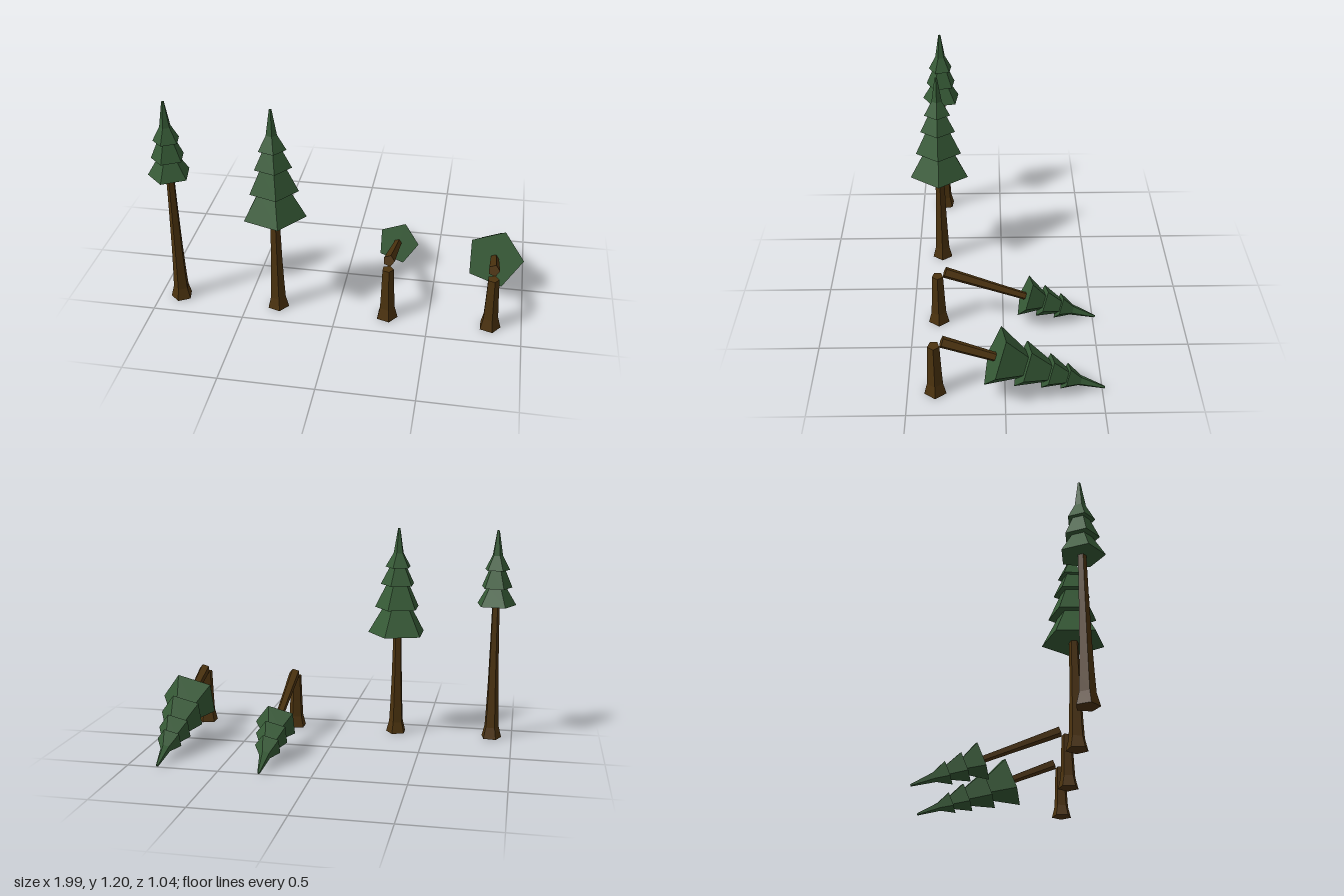
import * as THREE from 'three';

const bark = new THREE.MeshStandardMaterial({ color: 0x4c330f });
bark.name = 'bark brown';
const needles = new THREE.MeshStandardMaterial({ color: 0x365a36 });
needles.name = 'needle green';

const BREAK = 0.31; // height at which the fallen trees snapped

// Trunk profile as [radius, height]
const TRUNK = [[0.06, 0], [0.043, 0.065], [0.038, 0.16], [0.032, BREAK], [0.025, 0.6], [0.022, 0.78]];

// Foliage tiers as [bottom radius, bottom height, top radius], lowest first
const TALL = [[0.172, 0.595, 0.085], [0.134, 0.745, 0.067], [0.102, 0.88, 0.05], [0.076, 0.98, 0.03]];
const SMALL = [[0.115, 0.78, 0.055], [0.09, 0.88, 0.046], [0.072, 0.98, 0.03]];

// Five-sided, hard-edged solid of revolution with a corner facing +x
function fiveSided(name, profile, material) {
  const points = profile.map(([r, y]) => new THREE.Vector2(r, y));
  const geometry = new THREE.LatheGeometry(points, 5).rotateY(Math.PI / 2).toNonIndexed();
  geometry.computeVertexNormals();
  const mesh = new THREE.Mesh(geometry, material);
  mesh.name = name;
  return mesh;
}

// Piece of trunk between two heights, closed at both ends
function trunk(name, from, to) {
  const rings = TRUNK.filter(([, y]) => y >= from && y <= to);
  const last = rings[rings.length - 1];
  return fiveSided(name, [[0, rings[0][1]], ...rings, [0, last[1]]], bark);
}

// Stepped crown: flat-bottomed tiers ending in a thin spike
function foliage(tiers, width = 1) {
  const profile = [[0, tiers[0][1]]];
  tiers.forEach(([bottom, y, top], i) => {
    const nextY = i + 1 < tiers.length ? tiers[i + 1][1] : 1.06;
    profile.push([bottom * width, y], [top * width, nextY]);
  });
  profile.push([0.007, 1.2], [0, 1.2]);
  return fiveSided('foliage', profile, needles);
}

function standingTree(name, x, tiers, trunkTop, turn) {
  const tree = new THREE.Group();
  tree.name = name;
  tree.add(trunk('trunk', 0, trunkTop), foliage(tiers));
  tree.position.set(x, 0, 0.357);
  tree.rotation.y = turn;
  return tree;
}

function fallenTree(name, x, tiers, trunkTop, width) {
  const tree = new THREE.Group();
  tree.name = name;
  const stump = trunk('stump', 0, BREAK);
  stump.position.z = 0.357;

  // Broken-off upper part, pivoting at the break and tipped backwards
  const top = new THREE.Group();
  top.name = 'fallenTop';
  const log = trunk('fallenTrunk', BREAK, trunkTop);
  const crown = foliage(tiers, width);
  log.position.y = crown.position.y = -BREAK;
  top.add(log, crown);
  top.position.set(0, 0.335, 0.317);
  top.rotation.x = -THREE.MathUtils.degToRad(111.3);

  tree.add(stump, top);
  tree.position.x = x;
  return tree;
}

export function createModel() {
  const model = new THREE.Group();
  model.name = 'pineTrees';
  model.add(
    standingTree('smallStandingTree', -0.883, SMALL, 0.78, -THREE.MathUtils.degToRad(25)),
    standingTree('tallStandingTree', -0.33, TALL, 0.6, 0),
    fallenTree('smallFallenTree', 0.274, SMALL, 0.78, 1.04),
    fallenTree('largeFallenTree', 0.83, TALL, 0.6, 0.94)
  );
  return model;
}
